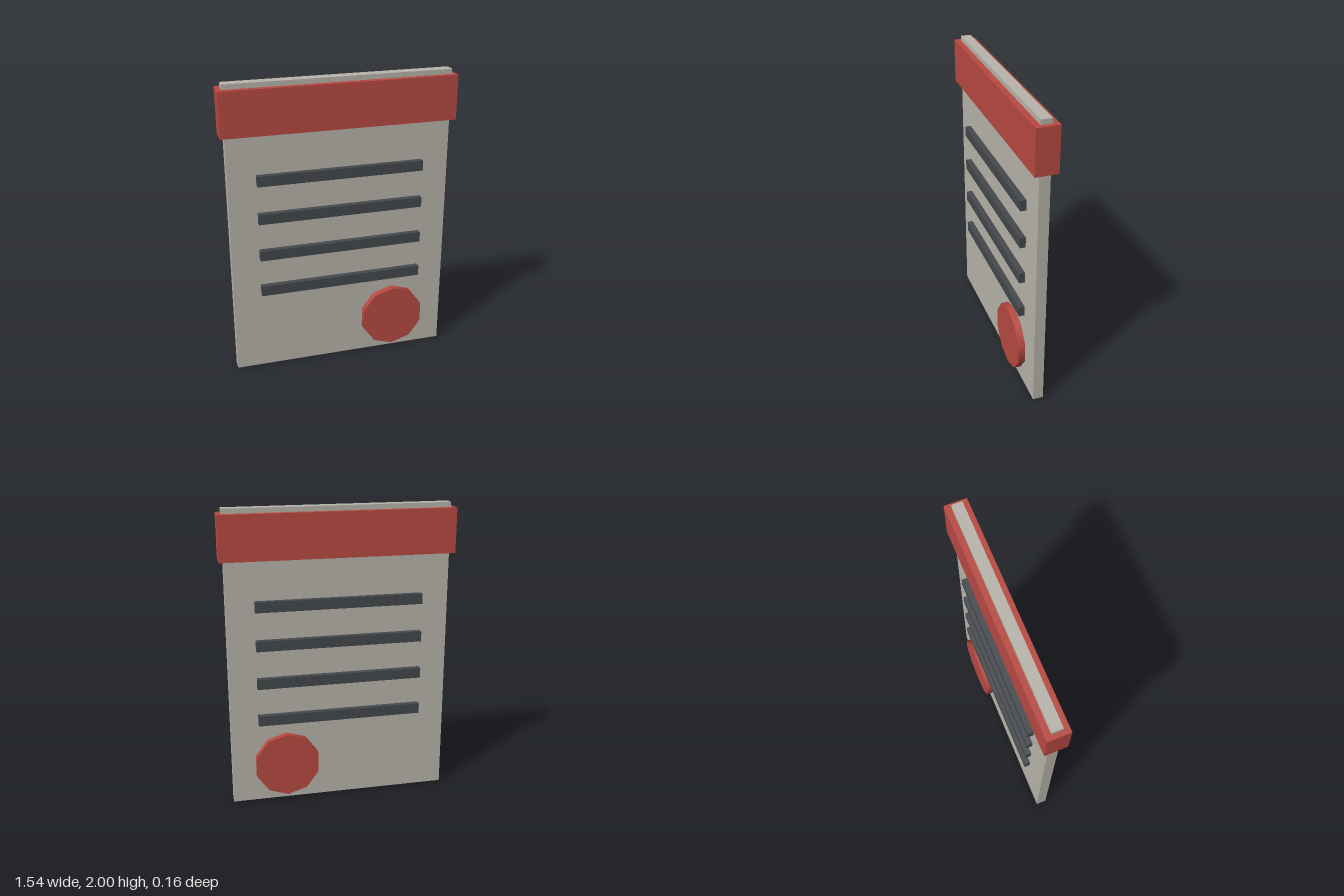
import * as THREE from 'three';

export function createModel() {
  const group = new THREE.Group();
  const paper = new THREE.MeshStandardMaterial({ name: 'warm grey', color: 0xb9b5ab });
  const red = new THREE.MeshStandardMaterial({ name: 'red', color: 0xb94a42 });
  const ink = new THREE.MeshStandardMaterial({ name: 'dark slate', color: 0x45494d });

  const add = (name, geometry, material, x, y) => {
    const mesh = new THREE.Mesh(geometry, material);
    mesh.name = name;
    mesh.position.set(x, y, 0);
    group.add(mesh);
    return mesh;
  };

  // Upright sheet and the header band wrapped around it
  add('sheet', new THREE.BoxGeometry(1.48, 2, 0.07), paper, 0, 1);
  add('headerBand', new THREE.BoxGeometry(1.54, 0.295, 0.147), red, 0, 1.82);

  // Four raised lines passing through to the back
  const lineGeometry = new THREE.BoxGeometry(1.11, 0.07, 0.147);
  for (let i = 0; i < 4; i++) add(`line${i + 1}`, lineGeometry, ink, 0, 1.375 - i * 0.26);

  // Ten-sided seal, also showing on both faces
  const seal = add('seal', new THREE.CylinderGeometry(0.222, 0.222, 0.163, 10), red, 0.368, 0.262);
  seal.rotation.x = Math.PI / 2;

  return group;
}
